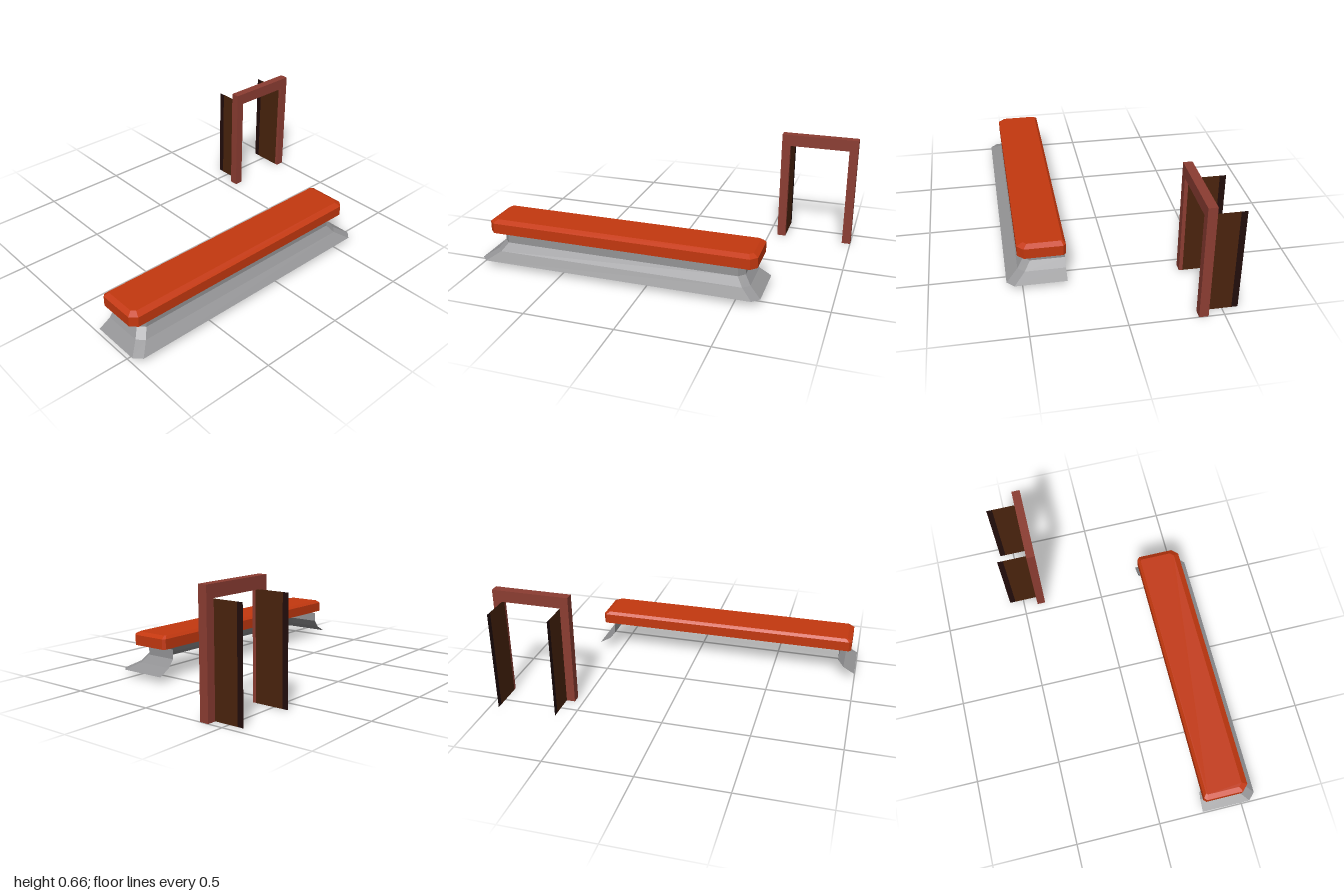
import * as THREE from 'three';

const material = (name, color, extra = {}) => {
  const m = new THREE.MeshStandardMaterial({ color, flatShading: true, ...extra });
  m.name = name;
  return m;
};

const CX = -0.18; // middle of the counter

// Horizontal outline with cut corners, from back left round the front to back right
function outline(y, half, front, back, cut, backCut) {
  const l = CX - half, r = CX + half;
  const pts = [
    [l, back + backCut], [l, front - cut], [l + cut, front],
    [r - cut, front], [r, front - cut], [r, back + backCut],
  ];
  if (backCut > 0) pts.push([r - backCut, back], [l + backCut, back]);
  return pts.map(([x, z]) => new THREE.Vector3(x, y, z));
}

// Skin between stacked outlines, bottom to top, with an optional lid
function skin(rings, closed, lid) {
  const pos = [];
  const tri = (...v) => v.forEach((p) => pos.push(p.x, p.y, p.z));
  const n = rings[0].length;
  for (let k = 0; k < rings.length - 1; k++) {
    for (let i = 0; i < (closed ? n : n - 1); i++) {
      const j = (i + 1) % n;
      const a = rings[k][i], b = rings[k][j], c = rings[k + 1][j], d = rings[k + 1][i];
      tri(a, b, c);
      tri(a, c, d);
    }
  }
  if (lid) {
    const top = rings[rings.length - 1];
    for (let i = 1; i < n - 1; i++) tri(top[0], top[i], top[i + 1]);
  }
  const g = new THREE.BufferGeometry();
  g.setAttribute('position', new THREE.Float32BufferAttribute(pos, 3));
  g.computeVertexNormals();
  return g;
}

export function createModel() {
  const group = new THREE.Group();
  const both = { side: THREE.DoubleSide };
  const orange = material('orange', 0xc4380f, both);
  const grey = material('grey', 0x949496, both);
  const redBrown = material('redBrown', 0x8c3d32);
  const darkBrown = material('darkBrown', 0x4a230d, both);
  const blackBrown = material('blackBrown', 0x220d0b, both);

  const add = (name, geometry, mat, parent = group) => {
    const mesh = new THREE.Mesh(geometry, mat);
    mesh.name = name;
    parent.add(mesh);
    return mesh;
  };

  // Hollow top with bevelled rim, open underneath
  add('counterTop', skin([
    outline(0.185, 0.785, 0.52, 0.26, 0.035, 0.015),
    outline(0.244, 0.785, 0.52, 0.26, 0.035, 0.015),
    outline(0.26, 0.757, 0.487, 0.275, 0.02, 0.008),
  ], true, true), orange);

  // Flared skirt around the front and both ends, open at the back
  add('flaredSkirt', skin([
    outline(0.036, 0.818, 0.585, 0.26, 0.04, 0),
    outline(0.075, 0.75, 0.52, 0.26, 0.037, 0),
    outline(0.12, 0.715, 0.485, 0.26, 0.035, 0),
    outline(0.176, 0.715, 0.485, 0.26, 0.035, 0),
  ], false, false), grey);

  // Door frame: two posts and a lintel in one piece
  const u = new THREE.Shape([
    [0.55, 0], [0.6, 0], [0.6, 0.59], [0.95, 0.59],
    [0.95, 0], [1, 0], [1, 0.658], [0.55, 0.658],
  ].map(([x, y]) => new THREE.Vector2(x, y)));
  const frame = new THREE.ExtrudeGeometry(u, { depth: 0.05, bevelEnabled: false });
  frame.translate(0, 0, -0.415);
  add('doorFrame', frame, redBrown);

  // Thin open doors behind the frame, each with a dark edge strip
  for (const [name, x] of [['rightDoor', 0.601], ['leftDoor', 0.949]]) {
    const door = new THREE.Group();
    door.name = name;
    const plate = (part, z0, z1, mat) => {
      const g = new THREE.PlaneGeometry(z0 - z1, 0.588);
      g.rotateY(Math.PI / 2);
      g.translate(x, 0.294, (z0 + z1) / 2);
      add(part, g, mat, door);
    };
    plate('doorPanel', -0.385, -0.552, darkBrown);
    plate('doorEdge', -0.552, -0.586, blackBrown);
    group.add(door);
  }
  return group;
}
